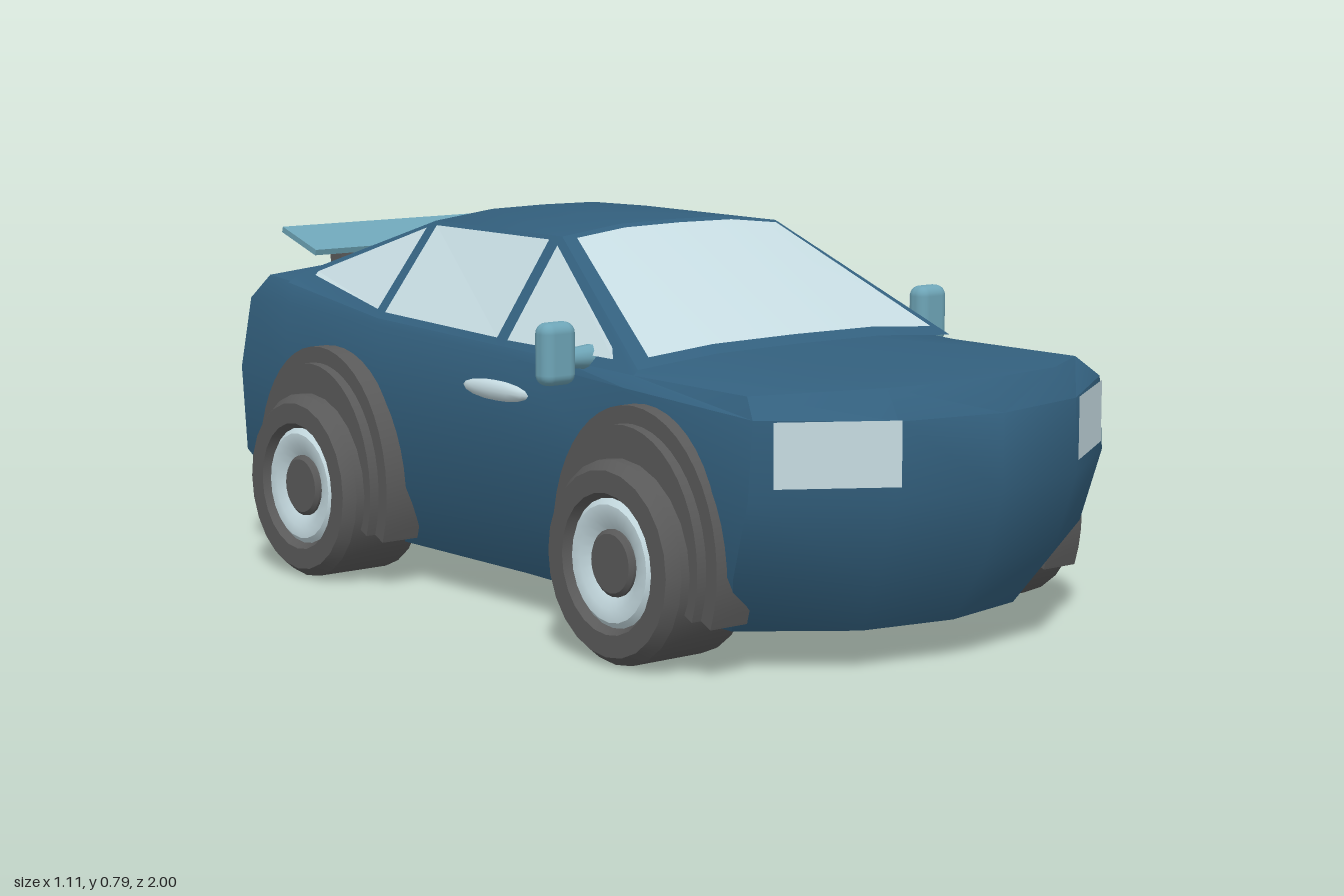
import * as THREE from 'three';
import { toCreasedNormals } from 'three/addons/utils/BufferGeometryUtils.js';
import { RoundedBoxGeometry } from 'three/addons/geometries/RoundedBoxGeometry.js';

const lerp = THREE.MathUtils.lerp;
const mix = (a, b, t) => a.map((v, i) => lerp(v, b[i], t));

function material(name, color, side = THREE.FrontSide) {
  const m = new THREE.MeshStandardMaterial({ color, side });
  m.name = name;
  return m;
}

function add(parent, name, geometry, mat, x = 0, y = 0, z = 0) {
  const mesh = new THREE.Mesh(geometry, mat);
  mesh.name = name;
  mesh.position.set(x, y, z);
  parent.add(mesh);
  return mesh;
}

// Skin over rows of points; mirrored in x when s is -1
function pushSkin(out, rows, s) {
  const p = (q) => out.push(q[0] * s, q[1], q[2]);
  for (let r = 0; r < rows.length - 1; r++) {
    for (let j = 0; j < rows[r].length - 1; j++) {
      const a = rows[r][j], b = rows[r][j + 1], c = rows[r + 1][j + 1], d = rows[r + 1][j];
      (s > 0 ? [a, b, c, a, c, d] : [a, c, b, a, d, c]).forEach(p);
    }
  }
}

function skin(rows, sides, crease) {
  const out = [];
  sides.forEach((s) => pushSkin(out, rows, s));
  const g = new THREE.BufferGeometry();
  g.setAttribute('position', new THREE.Float32BufferAttribute(out, 3));
  g.computeVertexNormals();
  return crease ? toCreasedNormals(g, crease) : g;
}

// Lower body: half outlines (front to back) stacked from floor to centre line
function bodyRows() {
  const belt = [.56, .558, .545, .545, .57, .585, .62, .63, .64, .64];
  const ridge = [.56, .562, .567, .567, .575, .59, .645, .645, .643, .64];
  const outline = (w, zf, zr, y) => [
    [0, zf], [.51, zf - .04], [1, zf - .19], [.985, .42], [.94, 0],
    [.95, -.44], [.985, -.78], [1, zr + .05], [.51, zr], [0, zr],
  ].map(([k, z], j) => [k * w, y(j, (1 - z) / 2), z]);
  const at = (front, rear) => (j, t) => lerp(front, rear, THREE.MathUtils.clamp(t, 0, 1));
  return [
    outline(0, .87, -.87, at(.08, .08)),
    outline(.4, .87, -.87, at(.08, .08)),
    outline(.465, .95, -.995, at(.2, .23)),
    outline(.473, 1, -1, at(.35, .42)),
    outline(.462, 1, -.972, at(.5, .58)),
    outline(.437, .955, -.93, (j) => belt[j]),
    outline(.22, .955, -.93, (j) => lerp(belt[j], ridge[j], .85)),
    outline(0, .955, -.93, (j) => ridge[j]),
  ];
}

// Cabin rows: sill, roof edge, roof shoulder, centre line (front to back)
const CABIN = [
  [[.43, .545, .42], [.44, .56, 0], [.445, .575, -.44], [.44, .62, -.8]],
  [[.42, .555, .42], [.29, .775, .01], [.29, .775, -.44], [.41, .637, -.8]],
  [[.22, .57, .42], [.14, .792, .01], [.14, .792, -.44], [.2, .645, -.8]],
  [[0, .572, .42], [0, .794, .01], [0, .794, -.44], [0, .645, -.8]],
];

// Point on the cabin side at a given height and depth, lifted slightly outward
function sidePoint([z, y]) {
  const i = z > 0 ? 0 : z > -.44 ? 1 : 2;
  const on = (row) => {
    const a = row[i], b = row[i + 1];
    return mix(a, b, (z - a[2]) / (b[2] - a[2]));
  };
  const low = on(CABIN[0]), high = on(CABIN[1]);
  return [lerp(low[0], high[0], (y - low[1]) / (high[1] - low[1])) + .007, y + .004, z];
}

function addWheel(parent, s, z, m) {
  const wheel = new THREE.Group();
  wheel.name = (z > 0 ? 'front' : 'rear') + (s > 0 ? 'LeftWheel' : 'RightWheel');
  wheel.position.set(0, .2, z);
  wheel.rotation.y = s > 0 ? 0 : Math.PI;
  parent.add(wheel);
  const turn = (name, profile, mat) => {
    const g = new THREE.LatheGeometry(profile.map(([r, x]) => new THREE.Vector2(r, x)), 24);
    add(wheel, name, toCreasedNormals(g, .6), mat).rotation.z = -Math.PI / 2;
  };
  turn('tire', [[0, .36], [.2, .36], [.2, .532], [.182, .555], [.138, .555], [.125, .535]], m.rubber);
  turn('rim', [[.13, .535], [.115, .548], [.09, .548], [.062, .53]], m.light);
  turn('hub', [[.066, .52], [.066, .538], [.058, .545], [0, .545]], m.rubber);

  // Stepped wheel arch
  [[.29, .49], [.255, .512]].forEach(([r, x], i) => {
    const shape = new THREE.Shape();
    shape.absarc(0, 0, r, -.38, Math.PI + .38, false);
    shape.absarc(0, 0, .17, Math.PI + .38, -.38, true);
    const g = new THREE.ExtrudeGeometry(shape, { depth: x - .4, bevelEnabled: false, curveSegments: 14 });
    g.scale(.87, 1, 1).rotateY(Math.PI / 2);
    add(wheel, i ? 'archLip' : 'arch', toCreasedNormals(g, .6), m.rubber, .4, .01, 0);
  });
}

export function createModel() {
  const car = new THREE.Group();
  car.name = 'car';
  const m = {
    paint: material('darkBluePaint', 0x33607e),
    light: material('paleGlass', 0xc6dbe1, THREE.DoubleSide),
    trim: material('lightBlueTrim', 0x6ea5b7),
    rubber: material('darkGrey', 0x5a5a5a, THREE.DoubleSide),
    red: material('redLamp', 0xda4848, THREE.DoubleSide),
  };

  add(car, 'body', skin(bodyRows(), [1, -1], .75), m.paint);
  add(car, 'cabin', skin(CABIN, [1, -1], .45), m.paint);

  // Windshield follows the front of the cabin
  const screen = (t) => [
    mix(CABIN[2], CABIN[1], .86), CABIN[2], CABIN[3],
  ].map((row) => {
    const p = row[0].map ? mix(row[0], row[1], t) : row;
    return [p[0], p[1] + .006, p[2] + .004];
  });
  // Edge column sits a little inside the pillar
  const column = (k, t) => {
    const a = mix(CABIN[2][0], CABIN[1][0], k), b = mix(CABIN[2][1], CABIN[1][1], k);
    const p = mix(a, b, t);
    return [p[0], p[1] + .006, p[2] + .004];
  };
  const centre = (t) => {
    const p = mix(CABIN[3][0], CABIN[3][1], t);
    return [p[0], p[1] + .006, p[2] + .004];
  };
  const pane = (t) => [centre(t), column(0, t), column(.83, t)];
  add(car, 'windshield', skin([pane(.05), pane(.95)], [1, -1], .5), m.light);

  // Side windows as [z, y] corners: lower edge, upper edge
  const windows = {
    frontQuarterWindow: [[[.35, .565], [.02, .57]], [[.33, .585], [.02, .755]]],
    doorWindow: [[[-.015, .572], [-.415, .586]], [[-.015, .764], [-.415, .764]]],
    rearQuarterWindow: [[[-.445, .59], [-.72, .638]], [[-.445, .757], [-.72, .646]]],
  };

  for (const s of [1, -1]) {
    const side = s > 0 ? 'left' : 'right';
    const named = (part) => side + part[0].toUpperCase() + part.slice(1);
    for (const [part, rows] of Object.entries(windows)) {
      add(car, named(part), skin(rows.map((r) => r.map(sidePoint)), [s]), m.light);
    }

    // Lamps
    const head = (y) => [[.235, y, .97], [.437, y, .84]].reverse().map((p) => p);
    add(car, named('headlight'), skin([head(.505), head(.38)], [s]), m.light);
    const tail = (y, zr, xs) => xs.map((x) => [x, y, zr - .007 + Math.max(0, x - .24) * .217]);
    add(car, named('taillight'), skin([
      tail(.6, -.965, [.385, .24, .19]),
      tail(.575, -.974, [.395, .24, .2]),
      tail(.41, -1, [.45, .27, .25]),
    ], [s]), m.red);

    // Mirror with arm and glass
    add(car, named('mirror'), new RoundedBoxGeometry(.08, .125, .052, 3, .022), m.trim, s * .503, .578, .265);
    add(car, named('mirrorGlass'), new THREE.BoxGeometry(.05, .085, .006), m.light, s * .503, .578, .238);
    const arm = new THREE.CylinderGeometry(.018, .026, .08, 10).rotateZ(-s * Math.PI / 2);
    add(car, named('mirrorArm'), arm, m.trim, s * .45, .565, .265);

    // Door handle
    const handle = new THREE.SphereGeometry(1, 12, 8).scale(.016, .021, .112);
    add(car, named('doorHandle'), handle, m.light, s * .452, .47, -.005);

    // Spoiler post
    add(car, named('spoilerPost'), new THREE.BoxGeometry(.06, .08, .045), m.rubber, s * .25, .665, -.85);

    for (const z of [.49, -.6]) addWheel(car, s, z, m);
  }

  // Spoiler blade, rising to the rear
  add(car, 'spoiler', new THREE.BoxGeometry(.76, .013, .142), m.trim, 0, .705, -.848).rotation.x = .3;
  return car;
}
